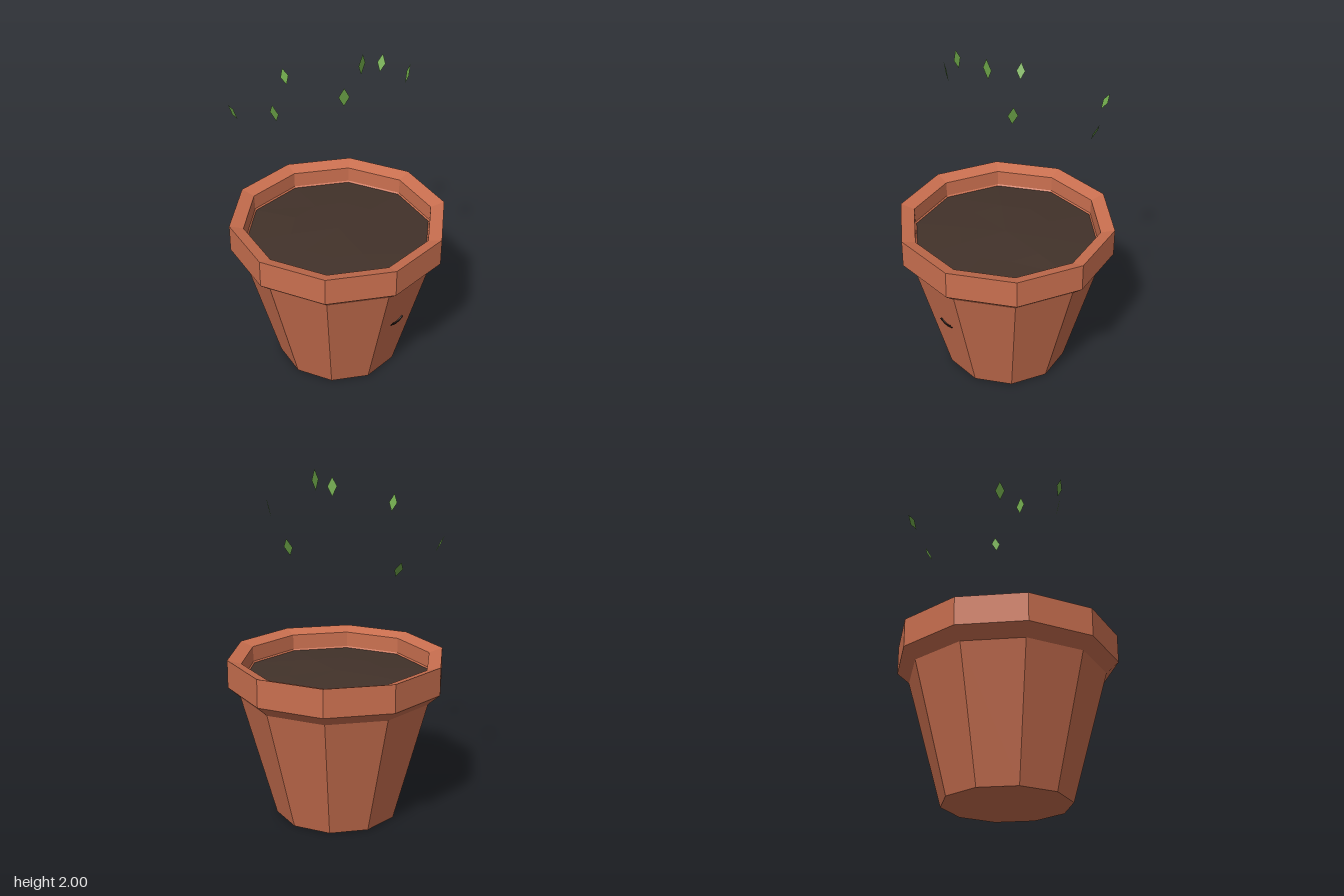
import * as THREE from 'three';

const terracotta = new THREE.MeshStandardMaterial({ color: 0xc96f4f, flatShading: true });
terracotta.name = 'terracotta';
const soilBrown = new THREE.MeshStandardMaterial({ color: 0x42322a, flatShading: true });
soilBrown.name = 'soil brown';
const leafGreen = new THREE.MeshStandardMaterial({ color: 0x6fa84a, flatShading: true, side: THREE.DoubleSide });
leafGreen.name = 'leaf green';
const smileDark = new THREE.MeshStandardMaterial({ color: 0x2b1d18, flatShading: true });
smileDark.name = 'smile dark';

const SIDES = 10;
const CENTRE_Z = 0.008;

function addMesh(parent, name, geometry, material) {
  const mesh = new THREE.Mesh(geometry, material);
  mesh.name = name;
  parent.add(mesh);
  return mesh;
}

// Ten-sided turned shape with corners on the x axis
function turned(profile) {
  const points = profile.map(([r, y]) => new THREE.Vector2(r, y));
  return new THREE.LatheGeometry(points, SIDES, Math.PI / 2);
}

// Flat diamond from its half-length (u) and half-width (v) vectors
function diamond(u, v) {
  const a = new THREE.Vector3(...u);
  const b = new THREE.Vector3(...v);
  const corners = [a, b.clone().negate(), a.clone().negate(), b];
  const geometry = new THREE.BufferGeometry().setFromPoints(corners);
  geometry.setIndex([0, 1, 2, 0, 2, 3]);
  geometry.computeVertexNormals();
  return geometry;
}

export function createModel() {
  const model = new THREE.Group();
  model.name = 'flowerPot';

  // Tapered pot with a thick rim whose top slopes inward
  const pot = addMesh(model, 'pot', turned([
    [0, 0], [0.36, 0], [0.56, 0.73], [0.63, 0.793], [0.63, 0.955],
    [0.55, 0.93], [0.547, 0.84], [0.53, 0.82], [0, 0.82],
  ]), terracotta);
  pot.position.z = CENTRE_Z;

  // Slightly uneven mound of soil
  const soilGeometry = turned([[0.54, 0.832], [0.28, 0.847], [0, 0.856]]);
  const p = soilGeometry.attributes.position;
  for (let i = 0; i < p.count; i++) {
    const x = p.getX(i), z = p.getZ(i), r = Math.hypot(x, z);
    if (r > 0.2 && r < 0.4) p.setY(i, p.getY(i) + 0.008 * Math.sin(x * 23 + z * 31));
  }
  const soil = addMesh(model, 'soil', soilGeometry, soilBrown);
  soil.position.z = CENTRE_Z;

  // Little smile lying on the sloped front face
  const half = 0.98;
  const arc = new THREE.TorusGeometry(0.062, 0.009, 5, 10, half * 2);
  arc.rotateZ(-Math.PI / 2 - half);
  arc.scale(1, 1, 0.6);
  const smile = addMesh(model, 'smile', arc, smileDark);
  smile.position.set(0, 0.462, 0.474);
  smile.rotation.x = 0.255;

  // Ring of floating leaves: centre, half-length, half-width
  const leaves = new THREE.Group();
  leaves.name = 'leaves';
  model.add(leaves);
  [
    [[0.02, 1.94, 0.153], [0, 0.06, 0.005], [0.03, 0, -0.003]],
    [[-0.213, 1.87, 0.24], [-0.008, 0.056, 0.008], [0.022, 0, 0.018]],
    [[0.306, 1.81, 0.23], [0.012, 0.054, 0.006], [0.016, 0, -0.021]],
    [[-0.449, 1.778, -0.023], [-0.013, 0.051, 0], [0.004, 0, 0.027]],
    [[0.527, 1.674, -0.14], [0.021, 0.048, -0.007], [0.007, 0, 0.025]],
    [[-0.369, 1.604, -0.432], [-0.016, 0.045, -0.018], [0.02, 0, -0.017]],
    [[0.177, 1.566, -0.583], [0.008, 0.042, -0.025], [0.025, 0, 0.008]],
  ].forEach(([centre, u, v], i) => {
    addMesh(leaves, `leaf${i + 1}`, diamond(u, v), leafGreen).position.set(...centre);
  });

  return model;
}
